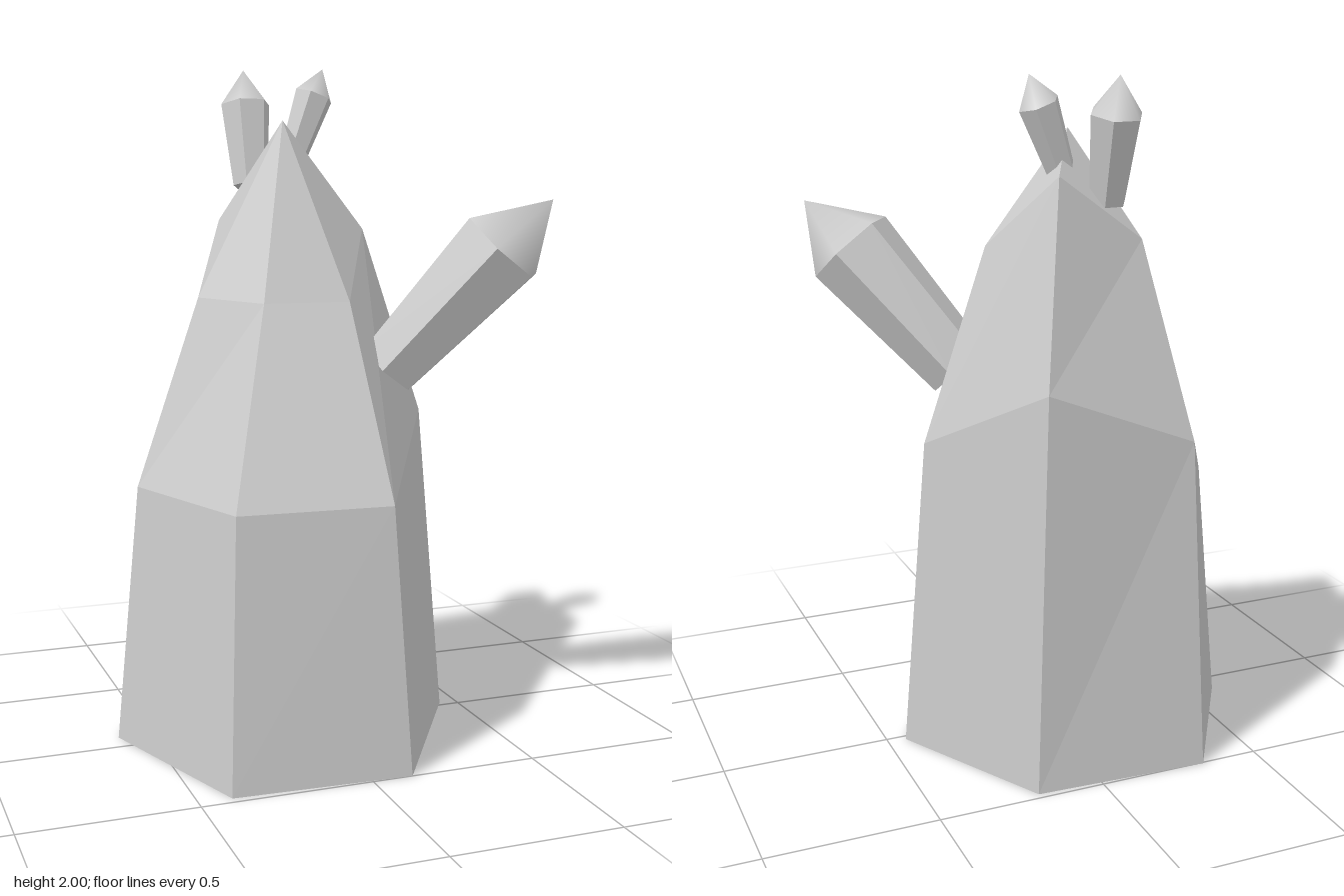
import * as THREE from 'three';

const V = (x, y, z) => new THREE.Vector3(x, y, z);
const flatMat = new THREE.MeshStandardMaterial({ color: 0xcccccc, flatShading: true });
const smoothMat = new THREE.MeshStandardMaterial({ color: 0xcccccc });

// Skin a stack of rings (counter-clockwise seen from above); optional bottom cap and apex
function loft(name, rings, { apex = null, bottom = false, smooth = false } = {}) {
  const n = rings[0].length;
  const points = rings.flat();
  const index = [];
  for (let r = 0; r < rings.length - 1; r++) {
    for (let i = 0; i < n; i++) {
      const a = r * n + i, b = r * n + (i + 1) % n;
      index.push(a, b, b + n, a, b + n, a + n);
    }
  }
  if (bottom) for (let i = 1; i < n - 1; i++) index.push(0, i + 1, i);
  if (apex) {
    const top = (rings.length - 1) * n;
    for (let i = 0; i < n; i++) index.push(top + i, top + (i + 1) % n, points.length);
    points.push(apex);
  }
  let geo = new THREE.BufferGeometry().setFromPoints(points);
  geo.setIndex(index);
  if (!smooth) geo = geo.toNonIndexed();
  geo.computeVertexNormals();
  const mesh = new THREE.Mesh(geo, smooth ? smoothMat : flatMat);
  mesh.name = name;
  return mesh;
}

// Hexagonal ring around an axis, first corner towards ref
function hexRing(center, axis, ref, radius) {
  const u = ref.clone().addScaledVector(axis, -ref.dot(axis)).normalize();
  const v = axis.clone().cross(u);
  return Array.from({ length: 6 }, (_, i) => {
    const t = i * Math.PI / 3;
    return center.clone()
      .addScaledVector(u, radius * Math.cos(t))
      .addScaledVector(v, radius * Math.sin(t));
  });
}

// Small crystal: flaring hexagonal shaft with a smooth-shaded point
function crystal(name, base, shoulder, apex, r0, r1, ref) {
  const axis = shoulder.clone().sub(base).normalize();
  const low = hexRing(base, axis, ref, r0);
  const high = hexRing(shoulder, axis, ref, r1);
  const group = new THREE.Group();
  group.name = name;
  group.add(loft('shaft', [low, high], { bottom: true }));
  group.add(loft('tip', [high], { apex, smooth: true }));
  return group;
}

export function createModel() {
  const model = new THREE.Group();
  model.name = 'crystalCluster';

  // Main crystal: irregular hexagon, slanted shoulders, off-centre apex
  const foot = [V(-0.405, 0, 0.475), V(0.12, 0, 0.5), V(0.445, 0, -0.02),
    V(0.195, 0, -0.48), V(-0.325, 0, -0.505), V(-0.595, 0, -0.075)];
  const lower = [V(-0.37, 0.77, 0.415), V(0.085, 0.77, 0.44), V(0.38, 0.955, -0.065),
    V(0.155, 1.17, -0.455), V(-0.3, 0.985, -0.44), V(-0.525, 0.77, -0.065)];
  const upper = [V(-0.205, 1.32, 0.165), V(0.05, 1.32, 0.18), V(0.19, 1.52, -0.075),
    V(0.06, 1.735, -0.3), V(-0.205, 1.545, -0.275), V(-0.335, 1.325, -0.06)];
  model.add(loft('mainCrystal', [foot, lower, upper],
    { apex: V(-0.075, 1.84, -0.048), bottom: true }));

  // Side crystals
  model.add(crystal('largeSideCrystal', V(0.2, 1.118, 0.12), V(0.475, 1.478, 0.305),
    V(0.592, 1.612, 0.382), 0.102, 0.14, V(-0.115, 0.085, 0.01)));
  model.add(crystal('backTopCrystal', V(-0.115, 1.65, -0.232), V(-0.112, 1.895, -0.292),
    V(-0.11, 2, -0.318), 0.055, 0.077, V(1, 0, 0)));
  model.add(crystal('leftTopCrystal', V(0.004, 1.74, -0.178), V(0.073, 1.92, -0.185),
    V(0.102, 2, -0.188), 0.043, 0.06, V(1, 0, 0)));

  return model;
}
